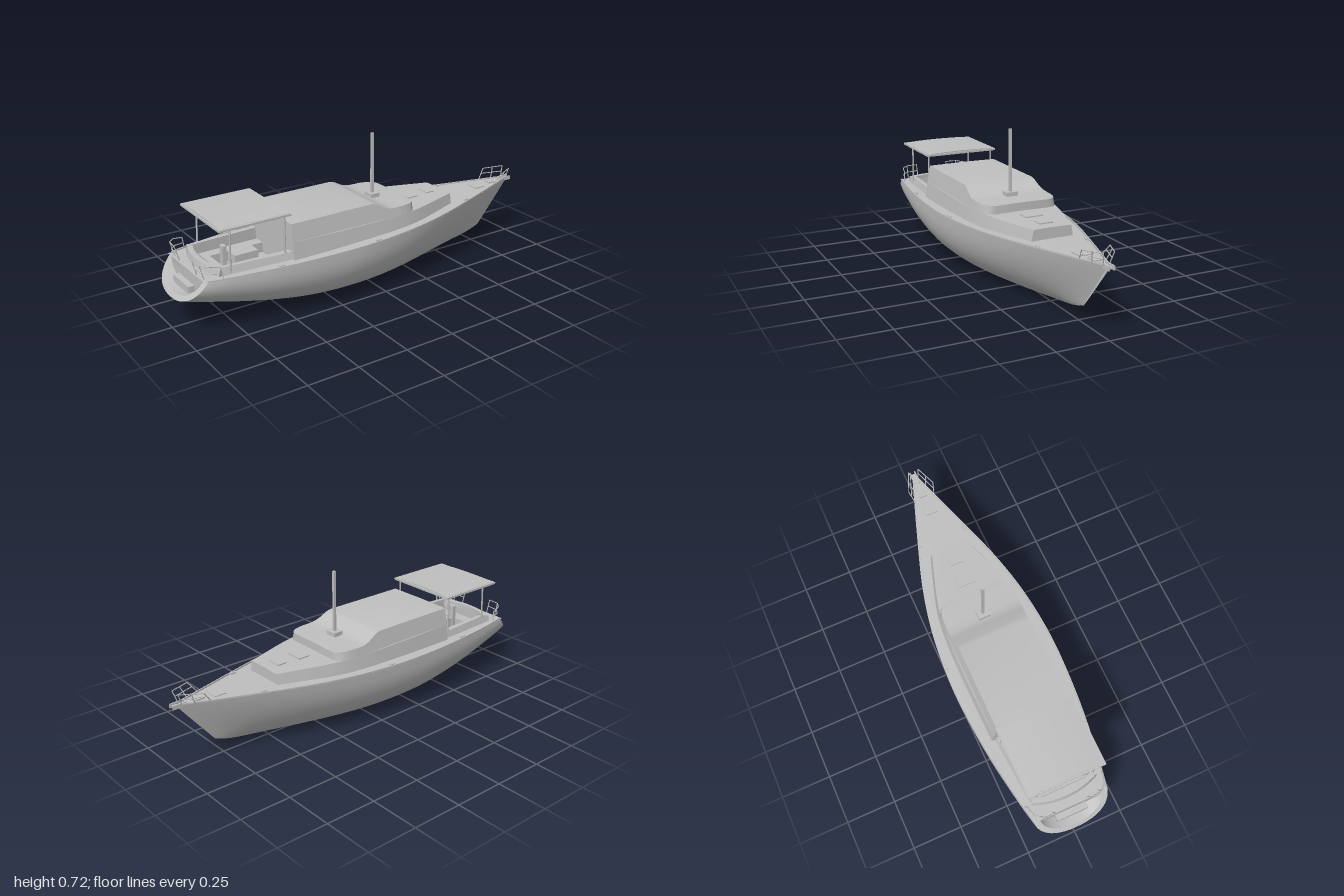
import * as THREE from 'three';
import { toCreasedNormals } from 'three/addons/utils/BufferGeometryUtils.js';

const hullGrey = new THREE.MeshStandardMaterial({ color: 0xbfbfbf, side: THREE.DoubleSide });
hullGrey.name = 'hull grey';

// Smooth curve through [x, value] points
function curve(p) {
  const slope = (i) => {
    const a = p[Math.max(i - 1, 0)], b = p[Math.min(i + 1, p.length - 1)];
    return (b[1] - a[1]) / (b[0] - a[0]);
  };
  return (x) => {
    let i = 0;
    while (i < p.length - 2 && x > p[i + 1][0]) i++;
    const h = p[i + 1][0] - p[i][0], t = Math.min(1, Math.max(0, (x - p[i][0]) / h));
    const t2 = t * t, t3 = t2 * t;
    return p[i][1] * (2 * t3 - 3 * t2 + 1) + p[i + 1][1] * (3 * t2 - 2 * t3)
      + h * (slope(i) * (t3 - 2 * t2 + t) + slope(i + 1) * (t3 - t2));
  };
}

const beam = curve([[-0.9, 0.192], [-0.8, 0.213], [-0.5, 0.257], [-0.2, 0.277], [0, 0.271], [0.2, 0.246],
  [0.4, 0.2], [0.6, 0.137], [0.8, 0.07], [0.98, 0.008]]);
const keel = curve([[-1, 0.157], [-0.8, 0.102], [-0.6, 0.055], [-0.4, 0.02], [-0.2, 0.005], [0, 0],
  [0.2, 0.003], [0.4, 0.014], [0.6, 0.036], [0.72, 0.056], [0.79, 0.08]]);
const fullness = curve([[0, 2.3], [0.5, 2.4], [0.75, 2.05], [1, 1.5]]);
const sheer = (x) => 0.284 + 0.022 * x + 0.0095 * x * x;
const trunkWidth = curve([[-0.48, 0.212], [-0.15, 0.217], [0.1, 0.21], [0.25, 0.187], [0.51, 0.107]]);

// Skin over equal-length rows of points
function loft(rows, { close = false, capStart = false, capEnd = false, crease = 0.6 } = {}) {
  const n = rows[0].length, idx = [], m = close ? n : n - 1;
  for (let r = 0; r < rows.length - 1; r++) {
    for (let i = 0; i < m; i++) {
      const a = r * n + i, b = r * n + (i + 1) % n;
      idx.push(a, b, a + n, b, b + n, a + n);
    }
  }
  const fan = (o, flip) => {
    for (let i = 1; i < n - 1; i++) idx.push(o, o + (flip ? i + 1 : i), o + (flip ? i : i + 1));
  };
  if (capStart) fan(0, true);
  if (capEnd) fan((rows.length - 1) * n, false);
  const g = new THREE.BufferGeometry();
  g.setAttribute('position', new THREE.Float32BufferAttribute(rows.flat(2), 3));
  g.setIndex(idx);
  return toCreasedNormals(g, crease);
}

const range = (n, f) => Array.from({ length: n + 1 }, (_, i) => f(i / n));

// One hull section, side to side; s runs from stern to stem
function hullSection(s) {
  const xs = -0.9 + 1.88 * s, xk = -1 + 1.79 * s;
  const ys = sheer(xs), yk = keel(xk), e = 2 / fullness(s);
  return range(28, (t) => {
    const a = Math.PI * t, c = Math.cos(a), d = Math.pow(Math.max(0, Math.sin(a)), e);
    return [xs + (xk - xs) * d, ys - (ys - yk) * d, beam(xs) * Math.sign(c) * Math.pow(Math.abs(c), e)];
  });
}

export function createModel() {
  const boat = new THREE.Group();
  boat.name = 'sailingYacht';
  const add = (name, g) => {
    const m = new THREE.Mesh(g, hullGrey);
    m.name = name;
    boat.add(m);
    return m;
  };
  const box = (name, x, y, z, w, h, d) => add(name, new THREE.BoxGeometry(w, h, d)).position.set(x, y, z);
  const both = (f) => [1, -1].forEach(f);
  // Straight rods joining a list of points
  const pipe = (name, pts, r = 0.0025) => {
    for (let i = 1; i < pts.length; i++) {
      const path = new THREE.LineCurve3(new THREE.Vector3(...pts[i - 1]), new THREE.Vector3(...pts[i]));
      add(name, new THREE.TubeGeometry(path, 1, r, 6));
    }
  };

  // Hull
  add('hull', loft(range(40, hullSection), { crease: 0.5 }));

  // Transom rim, recessed platform and bulkhead
  const outer = hullSection(0);
  const inner = outer.map(([x, y, z]) => {
    const k = (0.272 - y) / 0.115;
    return [-0.9 - 0.085 * k, y + 0.022 * k, z * 0.84];
  });
  const bulkhead = inner.map(([, y, z]) => [-0.915, y, z * 0.97]);
  add('transom', loft([outer, inner, bulkhead], { capEnd: true }));
  box('transomStep', -0.93, 0.2, 0, 0.03, 0.035, 0.16);

  // Deck with the cockpit opening
  const xs = range(40, (t) => -0.915 + 1.895 * t);
  const outline = [...xs.map((x) => [x, beam(x)]), ...xs.slice().reverse().map((x) => [x, -beam(x)])];
  const deckShape = new THREE.Shape(outline.map(([x, z]) => new THREE.Vector2(x, z)));
  const well = [[-0.82, -0.14], [-0.48, -0.155], [-0.48, 0.155], [-0.82, 0.14]];
  deckShape.holes.push(new THREE.Path(well.map(([x, z]) => new THREE.Vector2(x, z))));
  const deck = new THREE.ShapeGeometry(deckShape).rotateX(-Math.PI / 2);
  const dp = deck.attributes.position;
  for (let i = 0; i < dp.count; i++) dp.setY(i, sheer(dp.getX(i)) - 0.001);
  deck.computeVertexNormals();
  add('deck', deck);

  // Toe rails along the deck edge
  both((s) => add('toeRail', loft(range(40, (t) => {
    const x = -0.9 + 1.87 * t, b = beam(x), y = sheer(x), w = Math.min(0.006, b * 0.5);
    return [[x, y, s * b], [x, y + 0.006, s * b], [x, y + 0.006, s * (b - w)], [x, y - 0.001, s * (b - w)]];
  }))));

  // Cockpit well, seats, table and coaming
  const ring = (y) => well.map(([x, z]) => [x, y, z]);
  add('cockpitWell', loft([ring(0.29), ring(0.205)], { close: true, capEnd: true }));
  both((s) => box('cockpitSeat', -0.64, 0.23, s * 0.117, 0.32, 0.05, 0.055));
  box('aftSeat', -0.785, 0.23, 0, 0.06, 0.05, 0.24);
  box('cockpitTable', -0.63, 0.245, 0, 0.12, 0.08, 0.07);
  box('helmPedestal', -0.73, 0.27, 0, 0.02, 0.13, 0.03);
  both((s) => add('coaming', loft(range(8, (t) => {
    const x = -0.82 + 0.34 * t, z = 0.14 + 0.015 * t, w = 0.03 + 0.012 * t;
    return [[x, 0.265, s * (z + w)], [x, 0.308, s * (z + w - 0.012)], [x, 0.308, s * z], [x, 0.265, s * z]];
  }), { capStart: true, capEnd: true })));
  add('aftCoaming', loft(range(16, (t) => {
    const a = (t - 0.5) * 2, z = a * 0.17, x = -0.865 + 0.035 * a * a;
    return [[x - 0.008, 0.265, z], [x, 0.304, z], [x + 0.022, 0.304, z * 0.9], [x + 0.024, 0.265, z * 0.9]];
  }), { capStart: true, capEnd: true }));

  // Lower coachroof
  const section = (x, w0, w1, y0, y1) => [[x, y0, w0], [x, y1, w1], [x, y1 + 0.002, 0], [x, y1, -w1], [x, y0, -w0]];
  const trunkTop = (x) => 0.358 - 0.008 * (x + 0.48);
  add('coachroof', loft(range(24, (t) => {
    const x = -0.48 + 0.99 * t, w = trunkWidth(x);
    return section(x, w, w - 0.012, sheer(x) - 0.01, trunkTop(x));
  }), { capStart: true, capEnd: true }));

  // Raised cabin with a stepped roof and rounded front
  const cabin = [[-0.48, 0.2, 0.44], [-0.04, 0.2, 0.44], [-0.015, 0.2, 0.434], [0.035, 0.2, 0.407], [0.06, 0.2, 0.398],
    [0.09, 0.2, 0.395], [0.15, 0.197, 0.395], [0.185, 0.19, 0.394], [0.208, 0.177, 0.394], [0.219, 0.16, 0.393],
    [0.223, 0.14, 0.393]];
  add('cabin', loft(cabin.map(([x, w, y]) => section(x, w, w - (y - 0.352) * 0.19, 0.352, y)),
    { capStart: true, capEnd: true, crease: 0.5 }));

  // Flush window panels, laid just proud of the sloping walls
  const panel = (name, x0, x1, y0, y1, wall) => both((s) => add(name, loft([x0, x1].map((x) =>
    [y0(x), y1(x)].map((y) => [x, y, s * (wall(x, y) + 0.002)])))));
  const cabinWall = (x, y) => 0.2 - (y - 0.352) * 0.19;
  for (let i = 0; i < 5; i++) {
    const x0 = -0.46 + i * 0.088;
    panel('cabinWindow', x0, x0 + 0.08, () => 0.368, () => 0.425, cabinWall);
  }
  panel('cabinWindow', 0.01, 0.12, () => 0.365, (x) => 0.41 - (x - 0.01) * 0.22, cabinWall);
  const trunkWall = (x, y) => trunkWidth(x) - 0.012 * (y - sheer(x) + 0.01) / (trunkTop(x) - sheer(x) + 0.01);
  [[0.24, 0.35], [0.37, 0.47]].forEach(([a, b]) =>
    panel('trunkWindow', a, b, (x) => sheer(x) + 0.03, (x) => trunkTop(x) - 0.01, trunkWall));

  // Hatches
  [[0.31, 0.354, 0.06, 0.09], [0.43, 0.353, 0.05, 0.07], [0.77, 0.306, 0.06, 0.07], [0.87, 0.311, 0.05, 0.04]]
    .forEach(([x, y, w, d]) => box('hatch', x, y, 0, w, 0.01, d));

  // Mast and its step
  box('mastStep', 0.09, 0.406, 0, 0.05, 0.022, 0.06);
  box('mast', 0.09, 0.56, 0, 0.013, 0.32, 0.013);

  // Cockpit canopy on posts
  box('canopyFrame', -0.66, 0.492, 0, 0.355, 0.01, 0.39);
  add('canopyTop', loft(range(10, (t) => {
    const z = (t - 0.5) * 0.37, y = 0.503 - 0.15 * z * z;
    return [[-0.83, 0.495, z], [-0.83, y, z], [-0.49, y, z], [-0.49, 0.495, z]];
  }), { capStart: true, capEnd: true }));
  both((s) => {
    pipe('canopyPost', [[-0.78, 0.27, s * 0.166], [-0.773, 0.49, s * 0.166]], 0.0045);
    pipe('canopyPost', [[-0.51, 0.27, s * 0.178], [-0.51, 0.49, s * 0.178]], 0.0045);
  });

  // Bow pulpit, stern rails and deck cleats
  both((s) => {
    pipe('bowPulpit', [[0.83, 0.308, s * 0.052], [0.875, 0.364, s * 0.068], [0.975, 0.372, s * 0.026],
      [0.955, 0.31, s * 0.014]]);
    pipe('bowPulpit', [[0.855, 0.34, s * 0.062], [0.965, 0.344, s * 0.022]]);
    pipe('bowPulpit', [[0.9, 0.31, s * 0.033], [0.925, 0.368, s * 0.048]]);
    const top = [[-0.84, 0.33, s * 0.195], [-0.89, 0.34, s * 0.183], [-0.92, 0.343, s * 0.15], [-0.925, 0.343, s * 0.09]];
    pipe('sternRail', [[-0.83, 0.272, s * 0.2], ...top, [-0.905, 0.272, s * 0.09]]);
    pipe('sternRail', [[-0.835, 0.302, s * 0.197], ...top.slice(1).map(([x, y, z]) => [x + 0.006, y - 0.035, z])]);
    pipe('sternRail', [top[2], [-0.9, 0.272, s * 0.15]]);
    [-0.56, -0.05, 0.6].forEach((x) => box('cleat', x, sheer(x) + 0.004, s * (beam(x) - 0.015), 0.03, 0.008, 0.01));
  });

  // Anchor roller at the stem
  both((s) => box('rollerCheek', 0.965, 0.312, s * 0.013, 0.07, 0.02, 0.005));
  box('anchorRoller', 0.96, 0.309, 0, 0.06, 0.008, 0.026);

  return boat;
}
